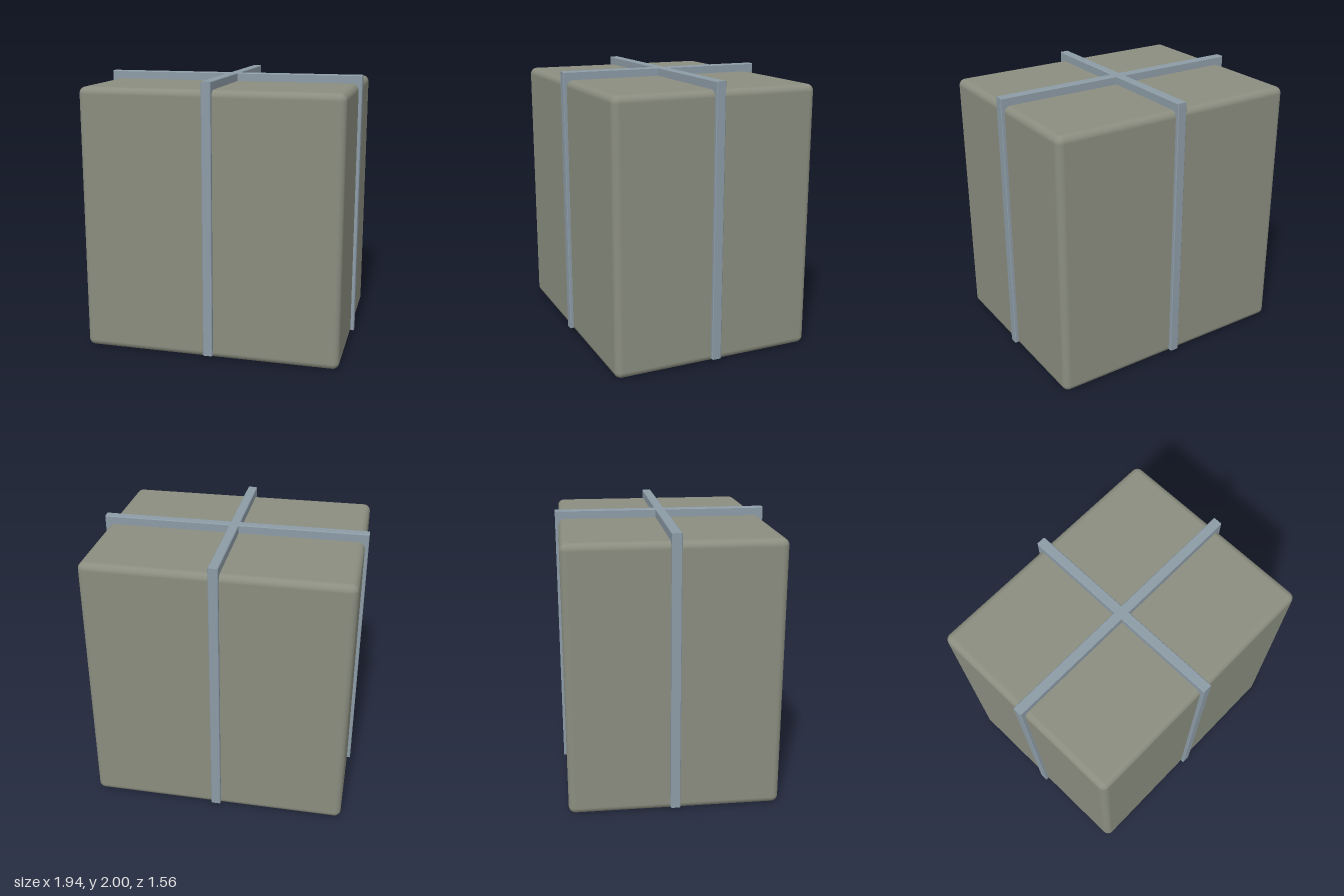
import * as THREE from 'three';
import { RoundedBoxGeometry } from 'three/addons/geometries/RoundedBoxGeometry.js';

const BOTTOM = 0.025, TOP = 2, STRAP_WIDTH = 0.07, BEVEL = 0.005;

// U-shaped band: down one side, over the top and down the other
function strapGeometry(halfSpan) {
  const inner = halfSpan - 0.06;
  const shape = new THREE.Shape([
    [-halfSpan, BOTTOM], [-inner, BOTTOM], [-inner, TOP - 0.09], [inner, TOP - 0.09],
    [inner, BOTTOM], [halfSpan, BOTTOM], [halfSpan, TOP], [-halfSpan, TOP],
  ].map(([x, y]) => new THREE.Vector2(x, y)));
  const depth = STRAP_WIDTH - 2 * BEVEL;
  return new THREE.ExtrudeGeometry(shape, {
    depth, bevelEnabled: true, bevelSegments: 1,
    bevelSize: BEVEL, bevelThickness: BEVEL, bevelOffset: -BEVEL,
  }).translate(0, 0, -depth / 2);
}

export function createModel() {
  const model = new THREE.Group();
  model.name = 'strappedBox';
  const boxMaterial = new THREE.MeshStandardMaterial({ color: 0x8a8d7f });
  const strapMaterial = new THREE.MeshStandardMaterial({ color: 0x8c9ba6 });

  // Box with softly rounded edges
  const box = new THREE.Mesh(new RoundedBoxGeometry(1.89, 1.94, 1.51, 5, 0.05), boxMaterial);
  box.name = 'box';
  box.position.y = 0.97;
  model.add(box);

  // Two straps crossing on the top
  const sideStrap = new THREE.Mesh(strapGeometry(0.97), strapMaterial);
  sideStrap.name = 'sideToSideStrap';
  const frontStrap = new THREE.Mesh(strapGeometry(0.78), strapMaterial);
  frontStrap.name = 'frontToBackStrap';
  frontStrap.rotation.y = Math.PI / 2;
  model.add(sideStrap, frontStrap);

  return model;
}
